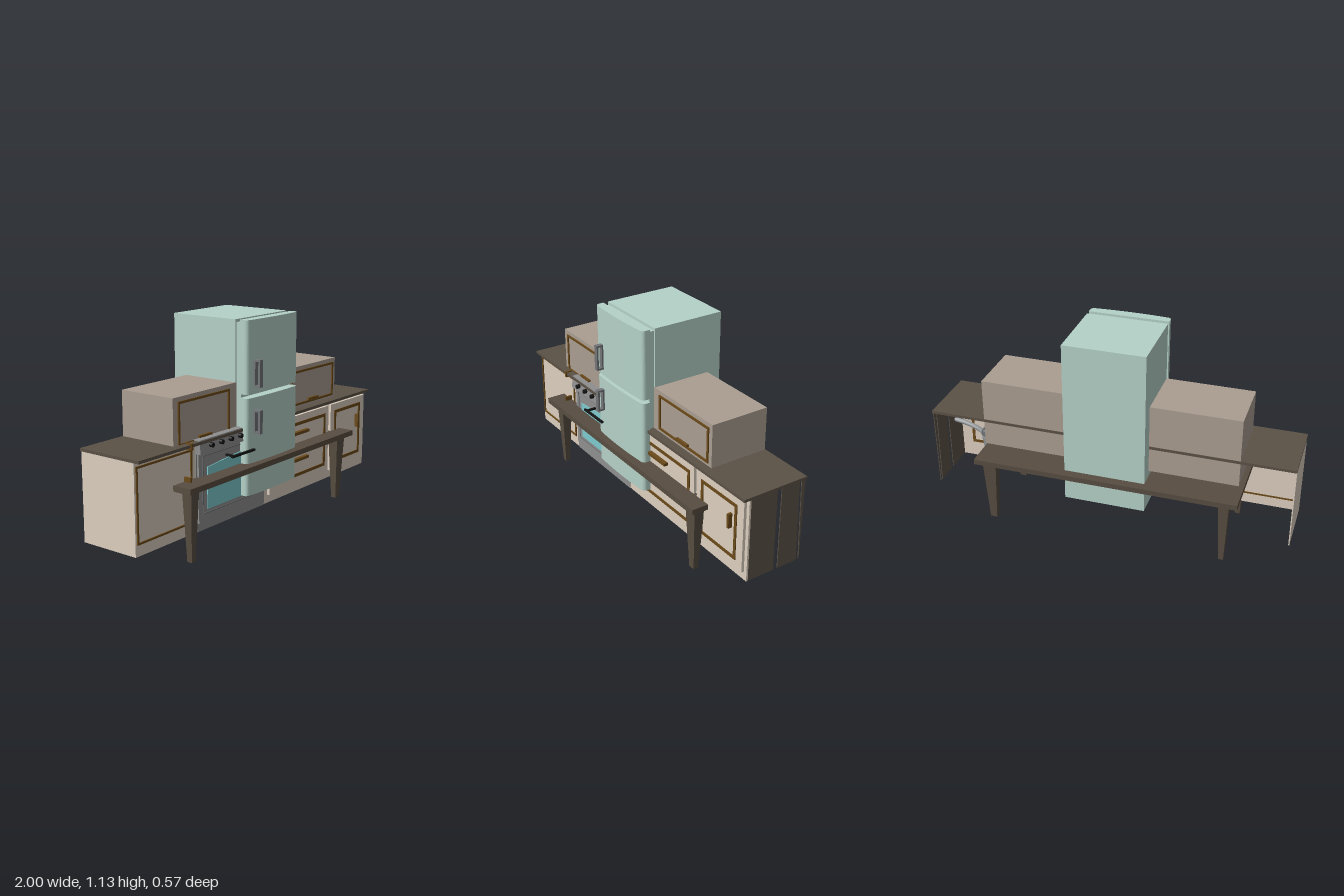
import * as THREE from 'three';

const mat = (color) => new THREE.MeshStandardMaterial({ color, side: THREE.DoubleSide });
const M = {
  wood: mat(0x5b5146), table: mat(0x584d41), cream: mat(0xdccfbf), taupe: mat(0xab9e92),
  mint: mat(0xb5d2c8), trim: mat(0x6b4a1a), steel: mat(0x8f8f90), dark: mat(0x737578),
  glass: mat(0x7ccbce), black: mat(0x141414), pan: mat(0x9a9da0),
};

function add(parent, name, geo, material, x = 0, y = 0, z = 0) {
  const m = new THREE.Mesh(geo, material);
  m.name = name;
  m.position.set(x, y, z);
  parent.add(m);
  return m;
}

// Box given by its limits on each axis
function box(parent, name, material, x0, x1, y0, y1, z0, z1) {
  return add(parent, name, new THREE.BoxGeometry(x1 - x0, y1 - y0, z1 - z0), material,
    (x0 + x1) / 2, (y0 + y1) / 2, (z0 + z1) / 2);
}

// Rectangular border of width w, facing z
function frame(parent, name, material, x0, x1, y0, y1, z0, z1, w) {
  const s = new THREE.Shape([[x0, y0], [x1, y0], [x1, y1], [x0, y1]].map((p) => new THREE.Vector2(...p)));
  s.holes.push(new THREE.Path([[x0 + w, y0 + w], [x0 + w, y1 - w], [x1 - w, y1 - w], [x1 - w, y0 + w]]
    .map((p) => new THREE.Vector2(...p))));
  return add(parent, name, new THREE.ExtrudeGeometry(s, { depth: z1 - z0, bevelEnabled: false }), material, 0, 0, z0);
}

function group(parent, name) {
  const g = new THREE.Group();
  g.name = name;
  parent.add(g);
  return g;
}

function fridge(root) {
  const g = group(root, 'fridge');
  box(g, 'fridgeBody', M.mint, -0.235, 0.205, 0.225, 1.13, -0.24, 0.162);
  box(g, 'doorSeal', M.mint, -0.225, 0.195, 0.235, 1.115, 0.16, 0.19);
  // Doors: plan outline with rounded front corners and a slight bulge
  const door = new THREE.Shape();
  door.moveTo(-0.22, -0.19);
  door.lineTo(0.22, -0.19);
  door.lineTo(0.22, -0.215);
  door.quadraticCurveTo(0.22, -0.236, 0.195, -0.238);
  door.quadraticCurveTo(0, -0.252, -0.195, -0.238);
  door.quadraticCurveTo(-0.22, -0.236, -0.22, -0.215);
  for (const [name, y0, y1, h0, h1] of [['lowerDoor', 0.225, 0.735, 0.55, 0.672], ['upperDoor', 0.755, 1.13, 0.79, 0.93]]) {
    const geo = new THREE.ExtrudeGeometry(door, { depth: y1 - y0, bevelEnabled: false, curveSegments: 8 });
    geo.rotateX(-Math.PI / 2);
    add(g, name, geo, M.mint, -0.015, y0, 0);
    // Hollow pull handle
    box(g, 'handleGrip', M.dark, -0.187, -0.162, h0, h1, 0.27, 0.28);
    box(g, 'handleBase', M.dark, -0.187, -0.162, h0, h1, 0.24, 0.25);
    box(g, 'handleBottom', M.dark, -0.187, -0.162, h0, h0 + 0.01, 0.25, 0.27);
    box(g, 'handleTop', M.dark, -0.187, -0.162, h1 - 0.01, h1, 0.25, 0.27);
  }
}

function table(root) {
  const g = group(root, 'table');
  box(g, 'tableTop', M.table, -0.735, 0.707, 0.367, 0.396, -0.29, 0.285);
  for (const [x, w] of [[-0.658, 0.058], [0.638, 0.078]]) {
    for (const z of [-0.22, 0.22]) {
      // Square leg tapering to the floor
      const leg = new THREE.CylinderGeometry(Math.SQRT1_2, Math.SQRT1_2 * 0.48, 0.37, 4, 1).toNonIndexed();
      leg.rotateY(Math.PI / 4);
      leg.scale(w, 1, 0.06);
      leg.computeVertexNormals();
      add(g, 'tableLeg', leg, M.table, x, 0.185, z);
    }
  }
}

function counter(root) {
  const g = group(root, 'counter');
  box(g, 'countertop', M.wood, -1, 1, 0.565, 0.58, -0.165, 0.21);
  box(g, 'endPanel', M.cream, -1, -0.994, 0.115, 0.566, -0.157, 0.175);

  // Slatted end on the other side: [top front, top back, bottom front, bottom back]
  for (const [a, b, c, d] of [[0.172, 0.012, 0.167, 0.012], [-0.014, -0.122, -0.014, -0.132], [-0.134, -0.157, -0.147, -0.15]]) {
    const s = new THREE.Shape([[-a, 0.57], [-c, 0.115], [-d, 0.115], [-b, 0.57]].map((p) => new THREE.Vector2(...p)));
    const geo = new THREE.ExtrudeGeometry(s, { depth: 0.005, bevelEnabled: false });
    geo.rotateY(Math.PI / 2);
    add(g, 'endSlat', geo, M.wood, 0.994, 0, 0);
  }

  // Cabinet fronts; trim runs through the thin panel
  box(g, 'leftFront', M.cream, -1, -0.57, 0.115, 0.566, 0.168, 0.178);
  frame(g, 'leftDoorTrim', M.trim, -0.99, -0.6, 0.172, 0.546, 0.166, 0.184, 0.01);
  box(g, 'leftDoorHandle', M.trim, -0.655, -0.643, 0.36, 0.42, 0.176, 0.216);
  box(g, 'leftTopPeg', M.trim, -0.643, -0.63, 0.553, 0.586, 0.178, 0.216);
  box(g, 'rightFront', M.cream, -0.015, 1, 0.115, 0.566, 0.168, 0.178);
  box(g, 'rightDoor', M.cream, 0.615, 0.98, 0.16, 0.55, 0.176, 0.193);
  frame(g, 'rightDoorTrim', M.trim, 0.652, 0.932, 0.205, 0.512, 0.166, 0.197, 0.017);
  box(g, 'rightDoorHandle', M.trim, 0.882, 0.896, 0.37, 0.448, 0.19, 0.215);
  box(g, 'drawerPanel', M.cream, 0.02, 0.59, 0.16, 0.55, 0.176, 0.193);
  for (const [y0, y1, h] of [[0.205, 0.358, 0.305], [0.366, 0.512, 0.455]]) {
    frame(g, 'drawerTrim', M.trim, 0.05, 0.556, y0, y1, 0.166, 0.197, 0.017);
    box(g, 'drawerHandle', M.trim, 0.215, 0.365, h - 0.008, h + 0.008, 0.19, 0.215);
  }
}

function oven(root) {
  const g = group(root, 'oven');
  box(g, 'ovenFront', M.steel, -0.572, -0.015, 0.115, 0.53, 0.165, 0.182);
  box(g, 'ovenDoor', M.steel, -0.563, -0.025, 0.16, 0.515, 0.18, 0.192);
  frame(g, 'ovenDoorRim', M.dark, -0.535, -0.045, 0.2, 0.5, 0.188, 0.195, 0.006);
  // Window with a sloping top edge
  const s = new THREE.Shape([[-0.5, 0.222], [-0.075, 0.222], [-0.075, 0.47], [-0.3, 0.455], [-0.5, 0.437]]
    .map((p) => new THREE.Vector2(...p)));
  add(g, 'ovenWindow', new THREE.ExtrudeGeometry(s, { depth: 0.034, bevelEnabled: false }), M.glass, 0, 0, 0.163);
  // Sloping control panel
  const c = new THREE.Shape([[-0.163, 0.515], [-0.213, 0.515], [-0.205, 0.584], [-0.163, 0.584]]
    .map((p) => new THREE.Vector2(...p)));
  const geo = new THREE.ExtrudeGeometry(c, { depth: 0.557, bevelEnabled: false });
  geo.rotateY(Math.PI / 2);
  add(g, 'controlPanel', geo, M.steel, -0.572, 0, 0);
  for (let i = 0; i < 4; i++) {
    add(g, 'knob', new THREE.CylinderGeometry(0.012, 0.012, 0.03, 16), M.black, -0.492 + i * 0.076, 0.551, 0.212)
      .rotation.x = Math.PI / 2;
  }
  box(g, 'ovenHandle', M.black, -0.37, -0.185, 0.461, 0.472, 0.24, 0.252);
  for (const x of [-0.355, -0.205]) box(g, 'handlePost', M.black, x, x + 0.01, 0.461, 0.472, 0.19, 0.242);
}

function wallBoxes(root) {
  // Cabinets standing either side of the fridge
  const g = group(root, 'upperCabinets');
  for (const [x0, x1, f0, f1, y0] of [[-0.715, -0.232, -0.682, -0.29, 0.572], [0.2, 0.69, 0.248, 0.666, 0.597]]) {
    box(g, 'upperCabinet', M.taupe, x0, x1, 0.43, 0.812, -0.162, 0.165);
    frame(g, 'upperTrim', M.trim, f0, f1, y0, 0.79, 0.164, 0.171, 0.012);
    const mid = (f0 + f1) / 2;
    box(g, 'upperHandle', M.trim, mid - 0.047, mid + 0.047, y0 + 0.015, y0 + 0.026, 0.164, 0.178);
  }
}

function fryingPan(root) {
  const g = group(root, 'pan');
  const profile = [[0, 0], [0.07, 0], [0.082, 0.012], [0.092, 0.085], [0.097, 0.09], [0.088, 0.088], [0.077, 0.014], [0, 0.008]]
    .map((p) => new THREE.Vector2(...p));
  add(g, 'panBowl', new THREE.LatheGeometry(profile, 28), M.pan, 0.69, 0.322, 0);
  const path = new THREE.CatmullRomCurve3([[0.775, 0.39, 0], [0.82, 0.415, 0], [0.88, 0.435, 0], [0.94, 0.445, 0]]
    .map((p) => new THREE.Vector3(...p)));
  add(g, 'panHandle', new THREE.TubeGeometry(path, 12, 0.014, 10), M.pan);
  add(g, 'panHandleEnd', new THREE.SphereGeometry(0.014, 10, 8), M.pan, 0.94, 0.445, 0);
}

export function createModel() {
  const root = new THREE.Group();
  root.name = 'kitchen';
  for (const build of [fridge, table, counter, oven, wallBoxes, fryingPan]) build(root);
  return root;
}
